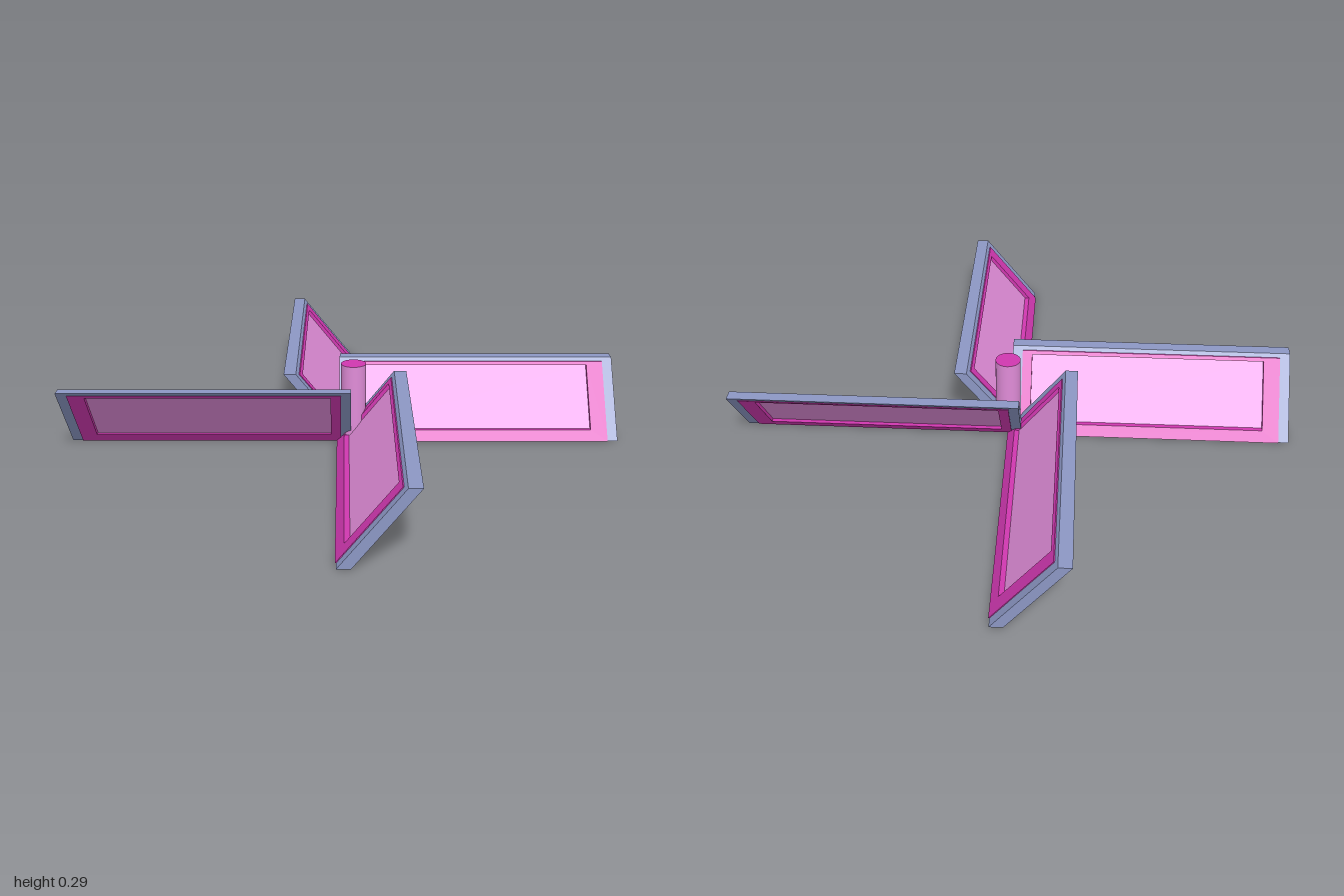
import * as THREE from 'three';

const magenta = new THREE.MeshStandardMaterial({ color: 0xd038b0 });
const pink = new THREE.MeshStandardMaterial({ color: 0xe08cd8 });
const greyBlue = new THREE.MeshStandardMaterial({ color: 0x8c97c4 });

const HEIGHT = 0.25; // top edge of the blades
const INNER = -0.02, OUTER = 0.976; // blade ends along its length
const LEAN = 0.8; // sideways shift per unit of height

const rect = (x0, y0, x1, y1) =>
  [[x0, y0], [x1, y0], [x1, y1], [x0, y1]].map(([x, y]) => new THREE.Vector2(x, y));

// Upright slab of the given outline, leaned over while its edges stay level
function leaningSlab(shape, thickness) {
  const geo = new THREE.ExtrudeGeometry(shape, { depth: thickness, bevelEnabled: false });
  geo.translate(0, 0, -thickness / 2 + 0.005);
  const p = geo.attributes.position;
  for (let i = 0; i < p.count; i++) p.setZ(i, p.getZ(i) - LEAN * p.getY(i));
  geo.computeVertexNormals();
  return geo;
}

function part(name, geometry, material) {
  const mesh = new THREE.Mesh(geometry, material);
  mesh.name = name;
  return mesh;
}

export function createModel() {
  const model = new THREE.Group();
  model.name = 'fourBladeRotor';

  // Frame with a window
  const frameShape = new THREE.Shape(rect(INNER + 0.035, 0, OUTER - 0.036, 0.238));
  frameShape.holes.push(new THREE.Path(rect(0.05, 0.033, 0.882, 0.227)));
  const frameGeo = leaningSlab(frameShape, 0.05);

  // Thin panel filling the window
  const panelGeo = leaningSlab(new THREE.Shape(rect(0.05, 0.033, 0.882, 0.227)), 0.016);

  // Rim around both ends and the upper edge
  const rimShape = new THREE.Shape([
    [INNER, 0], [INNER + 0.035, 0], [INNER + 0.035, 0.238],
    [OUTER - 0.036, 0.238], [OUTER - 0.036, 0], [OUTER, 0],
    [OUTER, HEIGHT], [INNER, HEIGHT],
  ].map(([x, y]) => new THREE.Vector2(x, y)));
  const rimGeo = leaningSlab(rimShape, 0.043);

  // Four blades around the axis
  for (let i = 0; i < 4; i++) {
    const blade = new THREE.Group();
    blade.name = `blade${i + 1}`;
    blade.add(
      part('bladeFrame', frameGeo, magenta),
      part('bladePanel', panelGeo, pink),
      part('bladeRim', rimGeo, greyBlue),
    );
    blade.rotation.y = -Math.PI / 12 + (i * Math.PI) / 2;
    model.add(blade);
  }

  // Hub post with end caps, set slightly off the axis
  const hub = new THREE.Group();
  hub.name = 'hub';
  const post = part('hubPost', new THREE.CylinderGeometry(0.044, 0.044, 0.255, 24, 1, true), pink);
  post.position.y = 0.1625;
  hub.add(post);
  for (const [name, y, turn] of [['hubTop', 0.29, -1], ['hubBottom', 0.035, 1]]) {
    const cap = part(name, new THREE.CircleGeometry(0.044, 24), magenta);
    cap.rotation.x = (turn * Math.PI) / 2;
    cap.position.y = y;
    hub.add(cap);
  }
  hub.position.set(0.024, 0, 0.024);
  model.add(hub);

  return model;
}
